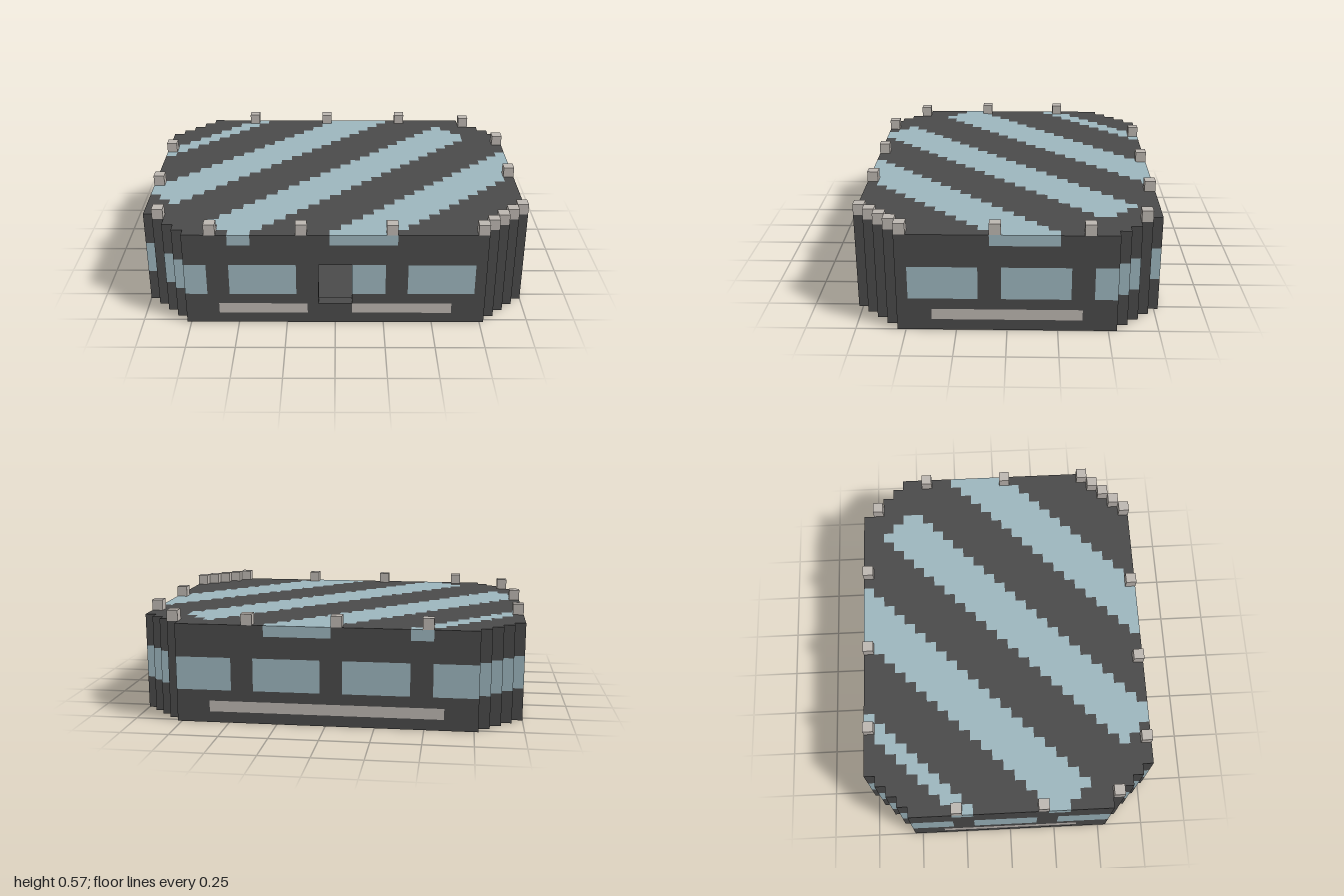
import * as THREE from 'three';

// Block-built hall: 35 x 10 x 27 cells, hollow, with striped roof and window band
const NX = 35, NY = 10, NZ = 27, CELL = 2 / NX, CUT = 4;

// Plan outline: rectangle with stepped corners
const inPlan = (x, z) => {
  const dx = Math.min(x, NX - 1 - x), dz = Math.min(z, NZ - 1 - z);
  return dx >= 0 && dz >= 0 && dx + dz >= CUT;
};
const onEdge = (x, z) => inPlan(x, z) &&
  !(inPlan(x - 1, z) && inPlan(x + 1, z) && inPlan(x, z - 1) && inPlan(x, z + 1));
const within = (v, a, b) => v >= a && v <= b;

// Name of the part that fills a cell, or null where it is empty
function partAt(x, y, z) {
  if (y < 0 || y >= NY || !inPlan(x, z)) return null;
  const sum = x + z, diff = x - z, edge = onEdge(x, z);
  if (y === 9) return edge && sum % 8 === 0 ? 'battlements' : null;
  if (y === 8) { // diagonal roof stripes, kept clear of the corners
    const stripe = within(sum % 13, 4, 9) && within(sum, 8, 52) && within(diff, -18, 26);
    return stripe ? 'roofStripes' : 'roof';
  }
  if (y === 0) return 'floor';
  if (!edge) return y === 1 && within(x, 9, 14) && within(z, 14, 20) ? 'innerPlatform' : null;
  if (z === NZ - 1 && within(x, 16, 18) && within(y, 2, 5)) return null; // doorway
  if (within(y, 3, 5) && sum % 8 >= 2) return 'windows';
  if (y === 1) { // pale bands low on each wall
    const gap = z === NZ - 1 && within(x, 15, 18);
    const alongX = (z === 0 || z === NZ - 1) && within(x, 7, 27) && !gap;
    const alongZ = (x === 0 || x === NX - 1) && within(z, 7, 19);
    if (alongX || alongZ) return 'wallBands';
  }
  return 'walls';
}

// Add the exposed faces of one cell
function addCell(positions, cell) {
  for (let a = 0; a < 3; a++) {
    for (const s of [-1, 1]) {
      const next = cell.slice();
      next[a] += s;
      if (partAt(...next)) continue;
      const u = (a + 1) % 3, v = (a + 2) % 3;
      const corners = [[0, 0], [1, 0], [1, 1], [0, 1]].map(([p, q]) => {
        const c = cell.slice();
        c[a] += s > 0 ? 1 : 0;
        c[u] += p;
        c[v] += q;
        return [(c[0] - NX / 2) * CELL, c[1] * CELL, (c[2] - NZ / 2) * CELL];
      });
      if (s < 0) corners.reverse();
      for (const i of [0, 1, 2, 0, 2, 3]) positions.push(...corners[i]);
    }
  }
}

export function createModel() {
  const material = (name, color) => {
    const m = new THREE.MeshStandardMaterial({ color });
    m.name = name;
    return m;
  };
  const dark = material('charcoal', 0x4a4a4a);
  const blue = material('paleBlue', 0x9cb5bd);
  const stone = material('paleStone', 0xbcb6b0);
  const parts = {
    floor: dark, walls: dark, roof: dark,
    windows: blue, roofStripes: blue,
    wallBands: stone, battlements: stone, innerPlatform: stone,
  };

  // Sort cell faces into their parts
  const faces = Object.fromEntries(Object.keys(parts).map((name) => [name, []]));
  for (let x = 0; x < NX; x++)
    for (let y = 0; y < NY; y++)
      for (let z = 0; z < NZ; z++) {
        const part = partAt(x, y, z);
        if (part) addCell(faces[part], [x, y, z]);
      }

  // One mesh per part
  const model = new THREE.Group();
  model.name = 'blockHall';
  for (const [name, mat] of Object.entries(parts)) {
    const geometry = new THREE.BufferGeometry();
    geometry.setAttribute('position', new THREE.Float32BufferAttribute(faces[name], 3));
    geometry.computeVertexNormals();
    const mesh = new THREE.Mesh(geometry, mat);
    mesh.name = name;
    model.add(mesh);
  }
  return model;
}
